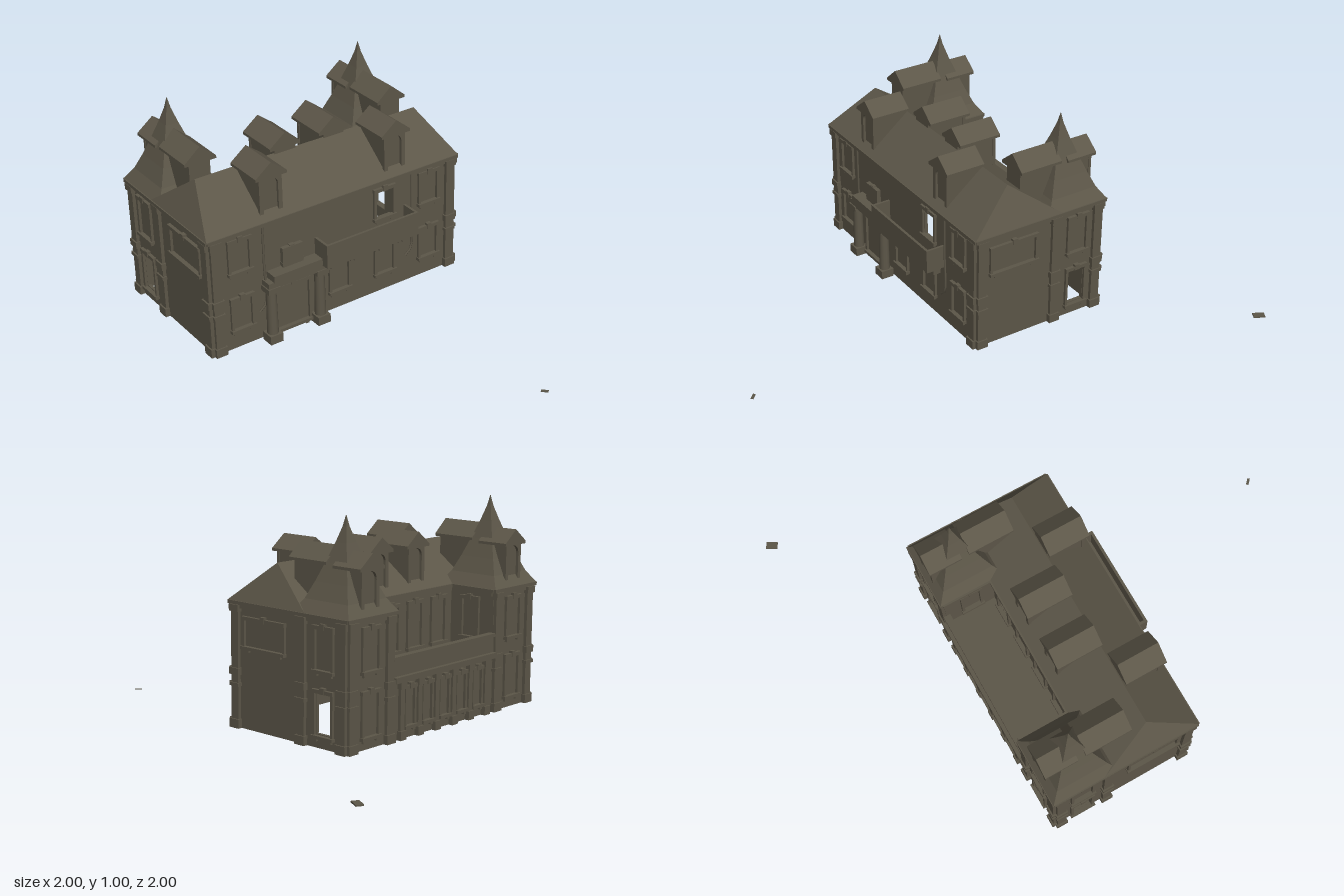
import * as THREE from 'three';

const stone = new THREE.MeshStandardMaterial({ color: 0x5c5648, side: THREE.DoubleSide });
stone.name = 'weathered stone';

function add(parent, name, geo, x = 0, y = 0, z = 0) {
  const m = new THREE.Mesh(geo, stone);
  m.name = name;
  m.position.set(x, y, z);
  parent.add(m);
  return m;
}

// box given by its extents
function box(parent, name, x0, x1, y0, y1, z0, z1) {
  return add(parent, name, new THREE.BoxGeometry(x1 - x0, y1 - y0, z1 - z0),
    (x0 + x1) / 2, (y0 + y1) / 2, (z0 + z1) / 2);
}

// a facade faces its own +z, with its outer surface at z = 0
function facade(parent, name, x, z, turn) {
  const g = new THREE.Group();
  g.name = name;
  g.position.set(x, 0, z);
  g.rotation.y = turn;
  parent.add(g);
  return g;
}

// thin wall with rectangular openings [x, y0, y1, width]
function wall(g, x0, x1, y0, y1, holes = []) {
  const rect = (T, a, b, c, d) => {
    const s = new T();
    s.moveTo(a, c); s.lineTo(b, c); s.lineTo(b, d); s.lineTo(a, d); s.closePath();
    return s;
  };
  const s = rect(THREE.Shape, x0, x1, y0, y1);
  holes.forEach(([x, a, b, w]) => s.holes.push(rect(THREE.Path, x - w / 2, x + w / 2, a, b)));
  add(g, 'wall', new THREE.ExtrudeGeometry(s, { depth: 0.015, bevelEnabled: false }), 0, 0, -0.015);
}

// raised window surround with lintel, keystone and sill
function windowFrame(g, x, y0, y1, w) {
  const h = w / 2, t = 0.012;
  for (const s of [-1, 1]) {
    box(g, 'windowJamb', x + s * h - t / 2, x + s * h + t / 2, y0, y1, -0.01, 0.012);
    box(g, 'sillBracket', x + s * h * 0.8 - 0.008, x + s * h * 0.8 + 0.008, y0 - 0.02, y0, 0, 0.012);
  }
  box(g, 'windowLintel', x - h - 0.008, x + h + 0.008, y1 - t, y1 + 0.004, -0.01, 0.015);
  box(g, 'windowKeystone', x - 0.012, x + 0.012, y1 - t, y1 + 0.014, 0, 0.018);
  box(g, 'windowSill', x - h - 0.01, x + h + 0.01, y0 - 0.008, y0 + 0.006, 0, 0.02);
}

// two-storey corner pilaster with base, middle band and capital
function pilaster(g, x, top = 0.59, w = 0.042) {
  const h = w / 2;
  box(g, 'pilaster', x - h, x + h, 0.05, top, -0.01, 0.015);
  const bands = [[0.05, 0.09], [top - 0.03, top]];
  if (top > 0.4) bands.push([0.235, 0.25], [0.285, 0.315]);
  for (const [a, b] of bands) box(g, 'pilasterBand', x - h - 0.006, x + h + 0.006, a, b, -0.01, 0.022);
}

function cornice(g, x0, x1) {
  box(g, 'corniceLower', x0, x1, 0.575, 0.592, -0.01, 0.01);
  box(g, 'corniceUpper', x0 - 0.015, x1 + 0.015, 0.592, 0.607, -0.02, 0.022);
}

// gabled prism roof running from z0 to z1
function gable(parent, name, x, w, y0, y1, z0, z1) {
  const s = new THREE.Shape();
  s.moveTo(-w / 2, y0); s.lineTo(w / 2, y0); s.lineTo(w / 2, y0 + 0.012);
  s.lineTo(0, y1); s.lineTo(-w / 2, y0 + 0.012); s.closePath();
  add(parent, name, new THREE.ExtrudeGeometry(s, { depth: z1 - z0, bevelEnabled: false }), x, 0, z0);
}

// dormer facing +z of its group, with an arched surround
function dormer(parent, x, z, turn, y0, depth) {
  const g = facade(parent, 'dormer', x, z, turn);
  box(g, 'dormerBody', -0.052, 0.052, y0, 0.8, -depth, -0.012);
  const s = new THREE.Shape();
  s.moveTo(-0.055, y0); s.lineTo(0.055, y0); s.lineTo(0.055, 0.8); s.lineTo(-0.055, 0.8); s.closePath();
  const p = new THREE.Path();
  p.moveTo(-0.036, y0 + 0.015); p.lineTo(0.036, y0 + 0.015); p.lineTo(0.036, 0.75);
  p.absarc(0, 0.75, 0.036, 0, Math.PI, false); p.closePath();
  s.holes.push(p);
  add(g, 'dormerArch', new THREE.ExtrudeGeometry(s, { depth: 0.014, bevelEnabled: false, curveSegments: 8 }), 0, 0, -0.014);
  gable(g, 'dormerRoof', 0, 0.15, 0.79, 0.86, -depth, 0.01);
}

// hipped roof over the main range
function hipRoof() {
  const A = [-0.64, 0.605, 0.345], B = [0.64, 0.605, 0.345], C = [0.64, 0.605, -0.107], D = [-0.64, 0.605, -0.107];
  const E = [-0.555, 0.778, 0.13], F = [0.555, 0.778, 0.13];
  const tris = [A, B, F, A, F, E, B, C, F, C, D, E, C, E, F, D, A, E];
  const geo = new THREE.BufferGeometry();
  geo.setAttribute('position', new THREE.Float32BufferAttribute(tris.flat(), 3));
  geo.computeVertexNormals();
  return geo;
}

// four-sided spire with a flared foot
function spire() {
  const pts = [[0.155, 0.605], [0.118, 0.66], [0.088, 0.73], [0.058, 0.81], [0.03, 0.89], [0.01, 0.955], [0.001, 1.0]]
    .map(([r, y]) => new THREE.Vector2(r * Math.SQRT2, y));
  const geo = new THREE.LatheGeometry(pts, 4, Math.PI / 4).toNonIndexed();
  geo.computeVertexNormals();
  return geo;
}

export function createModel() {
  const model = new THREE.Group();
  model.name = 'mansion';
  const house = new THREE.Group();
  house.name = 'house';
  house.position.set(-0.31, 0, -0.34);
  house.rotation.y = -0.176;
  model.add(house);
  const Q = Math.PI / 2;

  // front
  const front = facade(house, 'frontFacade', 0, 0.325, 0);
  wall(front, -0.622, 0.622, 0.05, 0.6, [[0.245, 0.42, 0.56, 0.085]]);
  for (const x of [-0.485, 0.485]) {
    windowFrame(front, x, 0.415, 0.57, 0.1);
    windowFrame(front, x, 0.14, 0.295, 0.1);
  }
  for (const x of [0.005, 0.245]) windowFrame(front, x, 0.14, 0.295, 0.1);
  windowFrame(front, 0.245, 0.42, 0.565, 0.1);
  for (const x of [-0.6, 0.6]) pilaster(front, x);
  cornice(front, -0.622, 0.622);
  for (const x of [-0.375, 0.385]) {
    const path = new THREE.CatmullRomCurve3([[x, 0.59], [x, 0.4], [x, 0.22], [x - 0.03, 0.19]]
      .map(([a, b]) => new THREE.Vector3(a, b, 0.012)));
    add(front, 'drainpipe', new THREE.TubeGeometry(path, 12, 0.005, 6));
  }

  // entrance porch
  const porch = facade(house, 'porch', -0.237, 0.325, 0);
  for (const x of [-0.121, 0.121]) {
    add(porch, 'porchColumn', new THREE.CylinderGeometry(0.022, 0.025, 0.23, 12), x, 0.18, 0.03);
    box(porch, 'columnBase', x - 0.031, x + 0.031, 0.04, 0.08, 0, 0.062);
    box(porch, 'columnCapital', x - 0.029, x + 0.029, 0.285, 0.31, 0, 0.06);
  }
  box(porch, 'porchBeam', -0.145, 0.145, 0.305, 0.335, 0, 0.055);
  box(porch, 'porchCornice', -0.12, 0.12, 0.335, 0.365, 0, 0.06);
  windowFrame(porch, 0, 0.06, 0.27, 0.17);
  box(porch, 'porchCrest', -0.05, 0.05, 0.365, 0.455, 0, 0.02);
  windowFrame(porch, 0, 0.38, 0.445, 0.085);

  // front balcony with solid parapet
  const balcony = facade(house, 'balcony', 0.125, 0.325, 0);
  box(balcony, 'balconyFloor', -0.24, 0.24, 0.33, 0.345, 0, 0.09);
  box(balcony, 'balconyParapet', -0.24, 0.24, 0.33, 0.44, 0.08, 0.092);
  for (const s of [-1, 1]) box(balcony, 'balconyEnd', s * 0.234 - 0.006, s * 0.234 + 0.006, 0.33, 0.44, 0, 0.09);
  for (const x of [-0.185, -0.065, 0.065, 0.19]) {
    box(balcony, 'balconyBracket', x - 0.02, x + 0.02, 0.305, 0.33, 0, 0.07);
    box(balcony, 'balconyBracketFoot', x - 0.014, x + 0.014, 0.28, 0.305, 0, 0.035);
  }

  // side walls, towers and wing roofs, mirrored
  for (const s of [-1, 1]) {
    const side = facade(house, s > 0 ? 'leftSide' : 'rightSide', s * 0.622, 0, s * Q);
    const u = z => -s * z;
    wall(side, -0.325, 0.325, 0.05, 0.6, [[u(-0.2), 0.11, 0.28, 0.085]]);
    windowFrame(side, u(0.139), 0.41, 0.54, 0.235);
    windowFrame(side, u(-0.2), 0.1, 0.295, 0.1);
    windowFrame(side, u(-0.2), 0.375, 0.56, 0.1);
    for (const z of [-0.305, -0.08, 0.305]) pilaster(side, u(z));
    cornice(side, -0.325, 0.325);

    const rear = facade(house, 'towerBack', s * 0.485, -0.325, Math.PI);
    wall(rear, -0.14, 0.14, 0.05, 0.6);
    windowFrame(rear, 0, 0.1, 0.295, 0.1);
    windowFrame(rear, 0, 0.375, 0.56, 0.1);
    for (const x of [-0.117, 0.117]) pilaster(rear, x);
    cornice(rear, -0.14, 0.14);

    const inner = facade(house, 'towerInnerSide', s * 0.345, -0.2, -s * Q);
    wall(inner, -0.125, 0.125, 0.05, 0.6);
    windowFrame(inner, 0, 0.375, 0.56, 0.09);
    cornice(inner, -0.12, 0.12);

    add(house, 'towerSpire', spire(), s * 0.485, 0, -0.19);
    dormer(house, s * 0.485, -0.325, Math.PI, 0.6, 0.14);
    box(house, 'wingRidgeBody', s * 0.485 - 0.05, s * 0.485 + 0.05, 0.6, 0.81, -0.14, 0.05);
    gable(house, 'wingRidgeRoof', s * 0.485, 0.15, 0.8, 0.875, -0.15, 0.06);
    dormer(house, s * 0.313, 0.315, 0, 0.61, 0.18);
    dormer(house, s * 0.123, -0.065, Math.PI, 0.61, 0.2);
  }
  add(house, 'mainRoof', hipRoof());

  // upper rear wall over the terrace
  const court = facade(house, 'terraceWall', 0, -0.09, Math.PI);
  wall(court, -0.345, 0.345, 0.3, 0.6, [[-0.245, 0.36, 0.55, 0.085]]);
  for (const x of [-0.245, -0.08, 0.08, 0.245]) windowFrame(court, x, 0.35, 0.56, 0.095);
  cornice(court, -0.345, 0.345);

  // ground floor arcade and terrace
  const arcade = facade(house, 'rearArcade', 0, -0.325, Math.PI);
  wall(arcade, -0.345, 0.345, 0.05, 0.31);
  for (let i = 0; i < 6; i++) {
    const x = -0.29 + i * 0.116;
    pilaster(arcade, x, 0.3, 0.026);
    if (i < 5) windowFrame(arcade, x + 0.058, 0.1, 0.275, 0.06);
  }
  box(arcade, 'terraceEdge', -0.345, 0.345, 0.3, 0.325, -0.02, 0.025);
  box(arcade, 'terraceParapet', -0.345, 0.345, 0.32, 0.4, -0.012, 0.006);
  box(arcade, 'parapetCoping', -0.345, 0.345, 0.395, 0.41, -0.018, 0.014);
  box(house, 'terraceFloor', -0.345, 0.345, 0.3, 0.312, -0.325, -0.09);

  // loose flat stones on the grounds
  const far = box(model, 'looseStone', -0.026, 0.026, 0.088, 0.094, -0.016, 0.016);
  far.position.x = 0.966;
  far.position.z = -0.97;
  far.rotation.y = 0.9;
  const near = box(model, 'looseStone', -0.016, 0.016, 0, 0.004, -0.006, 0.006);
  near.position.x = -0.188;
  near.position.z = 0.98;
  near.rotation.y = -0.95;
  return model;
}
